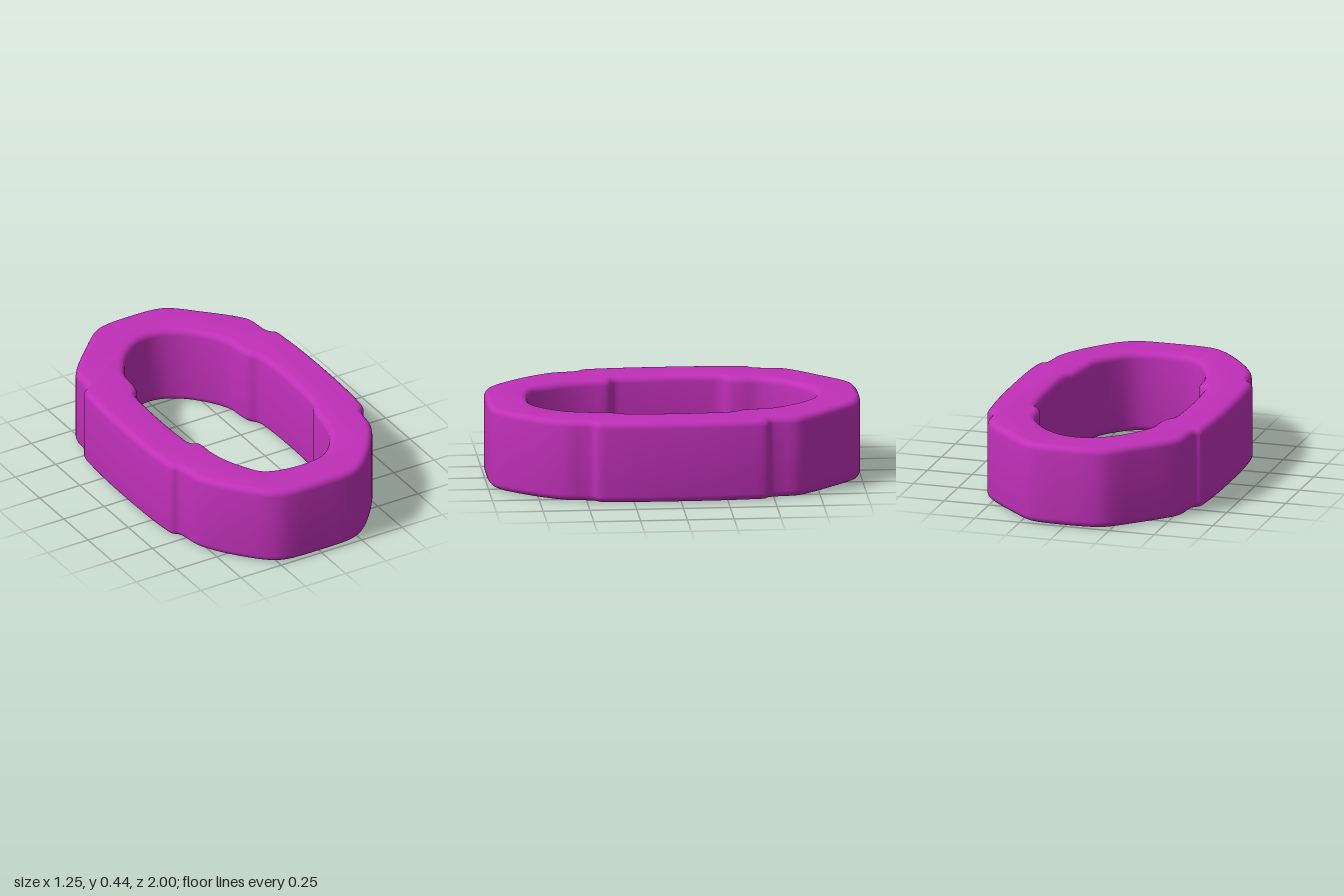
import * as THREE from 'three';
import { toCreasedNormals } from 'three/addons/utils/BufferGeometryUtils.js';

const HEIGHT = 0.44;
const BEVEL = 0.035;

// Half outlines as [x, z], running from the back centre to the front centre
const outerHalf = [
  [0, -1], [0.13, -0.995], [0.22, -0.97], [0.375, -0.83], [0.5, -0.7], [0.545, -0.63],
  [0.558, -0.53], [0.57, -0.485], [0.598, -0.46], [0.612, -0.36], [0.622, -0.16], [0.622, 0.16],
  [0.612, 0.36], [0.598, 0.44], [0.57, 0.47], [0.558, 0.52], [0.545, 0.6], [0.49, 0.71],
  [0.375, 0.86], [0.28, 0.95], [0.2, 0.985], [0, 0.995],
];
const innerBack = [
  [0, -0.77], [0.09, -0.75], [0.18, -0.69], [0.27, -0.585], [0.32, -0.49], [0.33, -0.4],
  [0.345, -0.335], [0.378, -0.29], [0.39, -0.19], [0.395, 0], [0.39, 0.19], [0.378, 0.28],
];
// The front of the opening differs a little from side to side
const innerLeft = [...innerBack, [0.35, 0.34], [0.33, 0.46], [0.3, 0.58], [0.24, 0.67], [0.15, 0.745], [0, 0.77]];
const innerRight = [...innerBack, [0.34, 0.31], [0.33, 0.41], [0.31, 0.51], [0.26, 0.63], [0.19, 0.73], [0, 0.77]];

// Join two halves into one smooth closed loop
function loop(left, right) {
  const mirrored = right.slice(1, -1).reverse().map(([x, z]) => [-x, z]);
  const points = [...left, ...mirrored].map(([x, z]) => new THREE.Vector3(x, z, 0));
  const curve = new THREE.CatmullRomCurve3(points, true, 'centripetal');
  return curve.getPoints(points.length * 5).slice(0, -1).map((p) => new THREE.Vector2(p.x, p.y));
}

export function createModel() {
  const group = new THREE.Group();
  group.name = 'linkRing';

  // Flat ring with rounded rims
  const shape = new THREE.Shape(loop(outerHalf, outerHalf));
  shape.holes.push(new THREE.Path(loop(innerLeft, innerRight)));
  const geometry = new THREE.ExtrudeGeometry(shape, {
    depth: HEIGHT - 2 * BEVEL,
    bevelThickness: BEVEL,
    bevelSize: BEVEL,
    bevelOffset: -BEVEL,
    bevelSegments: 5,
    steps: 1,
  });
  geometry.rotateX(Math.PI / 2);
  geometry.translate(0, HEIGHT - BEVEL, 0);

  const ring = new THREE.Mesh(
    toCreasedNormals(geometry, 0.6),
    new THREE.MeshStandardMaterial({ color: 0xc030b8 }),
  );
  ring.name = 'ring';
  group.add(ring);
  return group;
}
